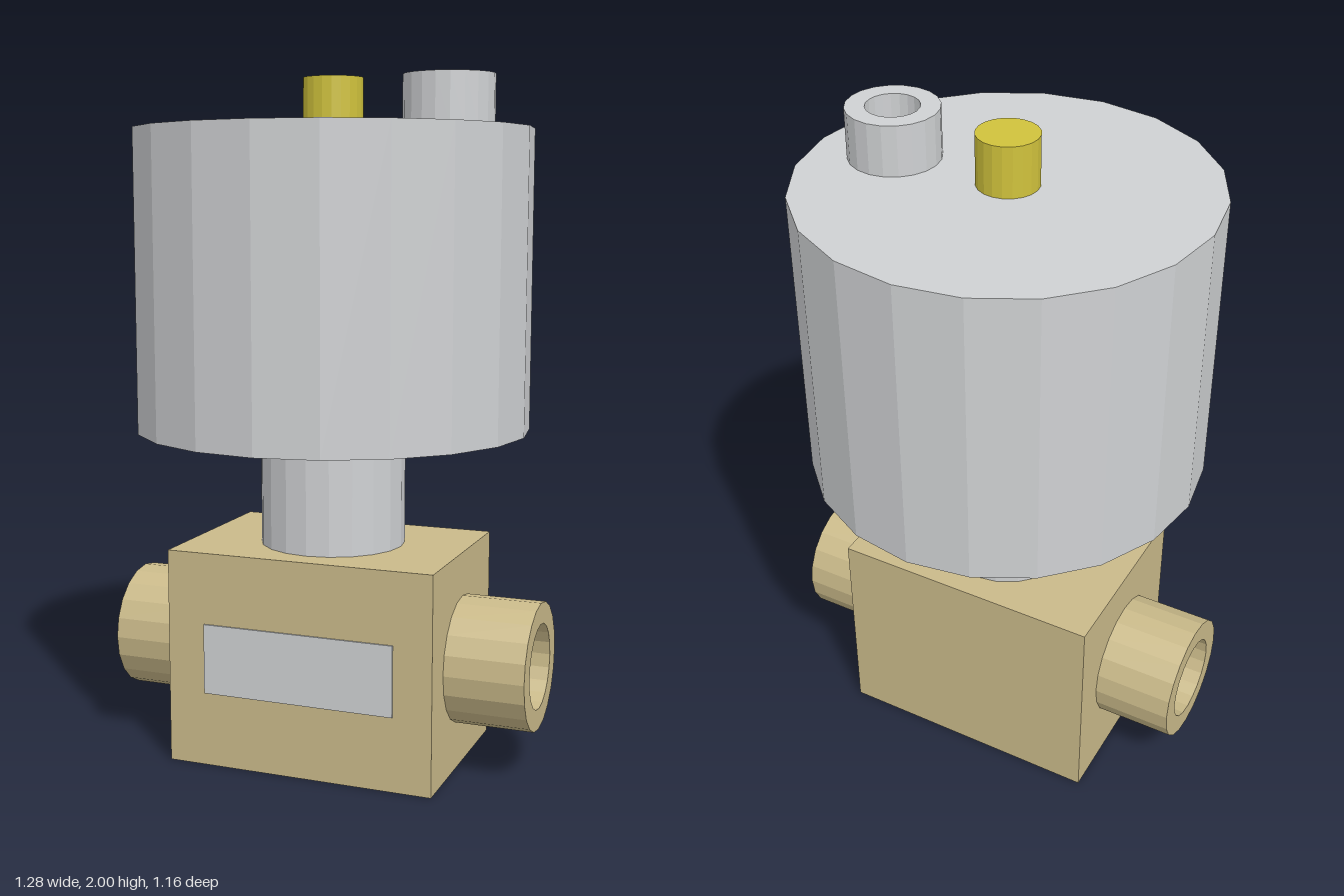
import * as THREE from 'three';

const SIDES = 20;

function material(name, color) {
  const m = new THREE.MeshStandardMaterial({ color, flatShading: true });
  m.name = name;
  return m;
}

export function createModel() {
  const group = new THREE.Group();
  group.name = 'solenoidValve';
  const steel = material('steel grey', 0xcfd1d3);
  const brass = material('brass', 0xcaba8a);
  const yellow = material('yellow', 0xd0c23c);

  function add(name, geometry, mat, x, y, z) {
    const mesh = new THREE.Mesh(geometry, mat);
    mesh.name = name;
    mesh.position.set(x, y, z);
    group.add(mesh);
    return mesh;
  }

  // Upright cylinder from y0 to y1
  function cylinder(name, r, y0, y1, mat) {
    return add(name, new THREE.CylinderGeometry(r, r, y1 - y0, SIDES), mat, 0, (y0 + y1) / 2, 0);
  }

  // Hollow tube with square rims, standing on its base
  function tube(inner, outer, h) {
    const profile = [[inner, 0], [outer, 0], [outer, h], [inner, h], [inner, 0]];
    return new THREE.LatheGeometry(profile.map(p => new THREE.Vector2(...p)), SIDES);
  }

  // Valve block and its label plate
  add('valveBody', new THREE.BoxGeometry(0.812, 0.64, 0.58), brass, 0, 0.32, 0);
  add('labelPlate', new THREE.BoxGeometry(0.582, 0.208, 0.008), steel, 0, 0.324, 0.291);

  // Hollow pipe ports on both sides
  for (const side of [1, -1]) {
    const port = add(side > 0 ? 'leftPort' : 'rightPort',
      tube(0.125, 0.188, 0.236), brass, side * 0.404, 0.322, 0);
    port.rotation.z = -side * Math.PI / 2;
  }

  // Stem and coil housing
  cylinder('stem', 0.215, 0.64, 0.985, steel);
  cylinder('coilHousing', 0.58, 0.985, 1.855, steel);

  // Top fittings
  cylinder('indicatorPin', 0.087, 1.855, 2, yellow);
  add('cableGland', tube(0.075, 0.13, 0.145), steel, 0.348, 1.855, 0);

  return group;
}
